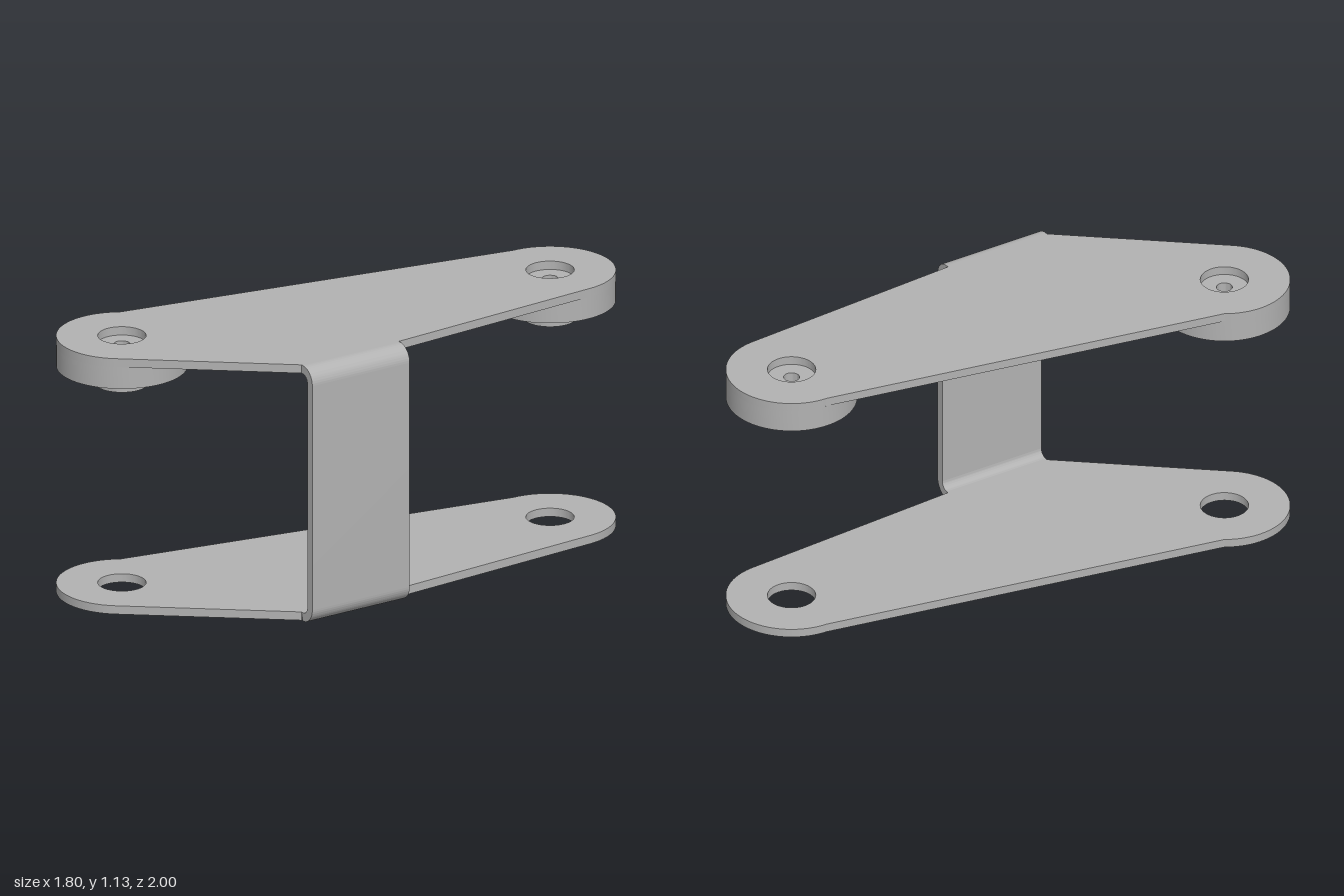
import * as THREE from 'three';
import { toCreasedNormals } from 'three/addons/utils/BufferGeometryUtils.js';

const PLATE = 0.037, TOP = 1.13;          // sheet thickness, overall height
const R = 0.272, BORE = 0.1, PIN = 0.033; // arm end radius, plate hole, pin hole
const ENDS = [new THREE.Vector2(-0.63, -0.728), new THREE.Vector2(0.63, 0.728)]; // x, -z

const steel = new THREE.MeshStandardMaterial({ color: 0xb2b2b2 });
steel.name = 'steel grey';

function circleHole(x, y, r) {
  const path = new THREE.Path();
  path.absarc(x, y, r, 0, Math.PI * 2, true);
  return path;
}

function extrude(shape, depth) {
  const g = new THREE.ExtrudeGeometry(shape, { depth, bevelEnabled: false, curveSegments: 40 });
  return toCreasedNormals(g, 0.5);
}

// Extrude a plan shape (x, -z) upwards from height y
function slab(name, shape, y, height) {
  const g = extrude(shape, height);
  g.rotateX(-Math.PI / 2);
  const mesh = new THREE.Mesh(g, steel);
  mesh.name = name;
  mesh.position.y = y;
  return mesh;
}

// Angle on an arm end where the line from p touches it
function tangent(p, c, side) {
  const d = p.clone().sub(c);
  return Math.atan2(d.y, d.x) + side * Math.acos(R / d.length());
}

// Bent two-armed outline with rounded ends
function plateShape() {
  const [a, b] = ENDS;
  const elbow = new THREE.Vector2(-0.24, -0.22);
  const bendA = new THREE.Vector2(0.187, -0.712);
  const bendB = new THREE.Vector2(0.43, -0.291);
  const s = new THREE.Shape();
  s.moveTo(elbow.x, elbow.y);
  s.absarc(a.x, a.y, R, tangent(elbow, a, 1), tangent(bendA, a, -1), false);
  s.lineTo(bendA.x, bendA.y);
  s.lineTo(bendB.x, bendB.y);
  s.absarc(b.x, b.y, R, tangent(bendB, b, 1), tangent(elbow, b, -1), false);
  s.closePath();
  for (const c of ENDS) s.holes.push(circleHole(c.x, c.y, BORE));
  return s;
}

// Upright web joining both plates, with rounded bends
function makeWeb() {
  const out = 0.08, ro = 0.07, ri = ro - PLATE, q = Math.PI / 2;
  const s = new THREE.Shape();
  s.moveTo(0, 0);
  s.absarc(out - ro, ro, ro, -q, 0, false);
  s.absarc(out - ro, TOP - ro, ro, 0, q, false);
  s.lineTo(0, TOP);
  s.lineTo(0, TOP - PLATE);
  s.absarc(out - ro, TOP - ro, ri, q, 0, true);
  s.absarc(out - ro, ro, ri, 0, -q, true);
  s.lineTo(0, PLATE);
  s.closePath();
  const mesh = new THREE.Mesh(extrude(s, 0.486), steel);
  mesh.name = 'bentWeb';
  mesh.position.set(0.43, 0, 0.291);
  mesh.rotation.y = -Math.PI / 6;
  return mesh;
}

// Bearing disc with four bolt holes and a hub below it
function makeBearing(c) {
  const group = new THREE.Group();
  group.name = 'bearing';
  const disc = new THREE.Shape();
  disc.absarc(0, 0, R, 0, Math.PI * 2, false);
  disc.holes.push(circleHole(0, 0, PIN));
  for (let i = 0; i < 4; i++) {
    const t = 0.46 + i * Math.PI / 2;
    disc.holes.push(circleHole(0.19 * Math.cos(t), 0.19 * Math.sin(t), 0.024));
  }
  const hub = new THREE.Shape();
  hub.absarc(0, 0, 0.112, 0, Math.PI * 2, false);
  hub.holes.push(circleHole(0, 0, PIN));
  group.add(slab('bearingDisc', disc, 0.997, TOP - PLATE - 0.997));
  group.add(slab('bearingHub', hub, 0.92, 0.077));
  group.position.set(c.x, 0, -c.y);
  return group;
}

export function createModel() {
  const model = new THREE.Group();
  model.name = 'bracket';
  model.add(slab('lowerPlate', plateShape(), 0, PLATE));
  model.add(slab('upperPlate', plateShape(), TOP - PLATE, PLATE));
  model.add(makeWeb());
  for (const c of ENDS) model.add(makeBearing(c));
  return model;
}
